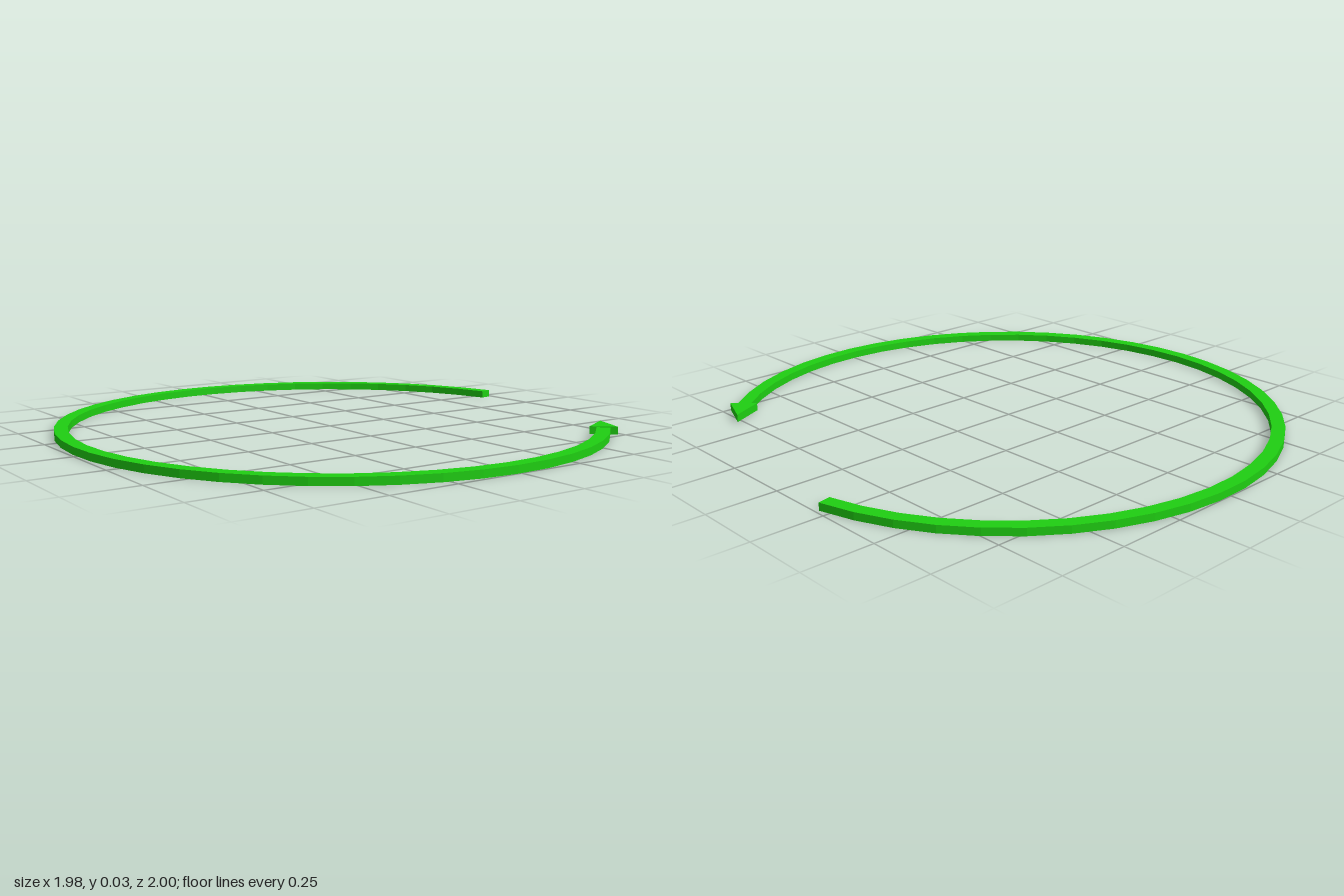
import * as THREE from 'three';

const material = new THREE.MeshStandardMaterial({ color: 0x1fcf12, flatShading: true });

// Flat plate lying on the ground: outline in (x, -z), raised from y to y + height
function plate(name, points, y, height) {
  const geometry = new THREE.ExtrudeGeometry(new THREE.Shape(points), { depth: height, bevelEnabled: false });
  geometry.rotateX(-Math.PI / 2);
  geometry.translate(0, y, 0);
  const mesh = new THREE.Mesh(geometry, material);
  mesh.name = name;
  return mesh;
}

export function createModel() {
  const group = new THREE.Group();
  group.name = 'circularArrow';

  const centreX = 0.01, outer = 1, inner = 0.952, segments = 40;
  const start = THREE.MathUtils.degToRad(12.2), end = THREE.MathUtils.degToRad(314);
  const polar = (r, a) => new THREE.Vector2(centreX + r * Math.cos(a), r * Math.sin(a));

  // Open ring with a rectangular section
  const outside = [], inside = [];
  for (let i = 0; i <= segments; i++) {
    const a = start + (end - start) * i / segments;
    outside.push(polar(outer, a));
    inside.unshift(polar(inner, a));
  }
  group.add(plate('arrowShaft', [...outside, ...inside], 0, 0.027));

  // Triangular head following the ring direction
  const head = [new THREE.Vector2(0.77, -0.612), new THREE.Vector2(0.65, -0.672), new THREE.Vector2(0.723, -0.738)];
  group.add(plate('arrowHead', head, 0.002, 0.028));

  return group;
}
